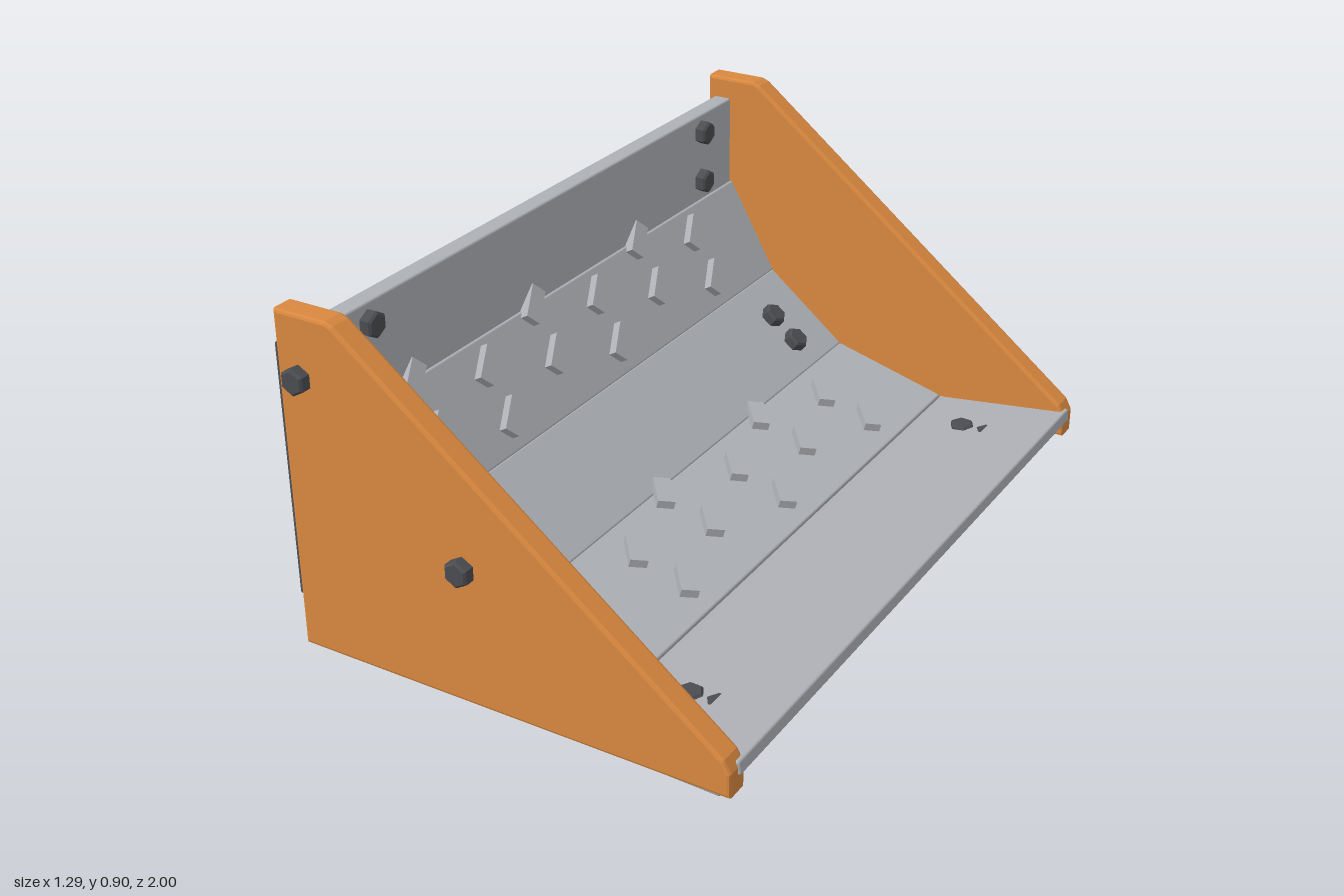
import * as THREE from 'three';
import { RoundedBoxGeometry } from 'three/addons/geometries/RoundedBoxGeometry.js';

const mat = (name, color) => {
  const m = new THREE.MeshStandardMaterial({ color });
  m.name = name;
  return m;
};

export function createModel() {
  const root = new THREE.Group();
  root.name = 'loaderBucket';
  const orange = mat('orange paint', 0xd9883f);
  const steel = mat('light steel', 0xadb0b5);
  const dark = mat('dark plate', 0x525254);
  const boltMat = mat('bolt steel', 0x4a4c50);

  function add(parent, name, geo, material, x = 0, y = 0, z = 0) {
    const mesh = new THREE.Mesh(geo, material);
    mesh.name = name;
    mesh.position.set(x, y, z);
    parent.add(mesh);
    return mesh;
  }

  // Hex bolt along local +y with its base at the origin, one vertex along x
  const hexGeo = (r, h) => {
    const bevel = 0.006;
    const pts = [[0, -0.01], [r, -0.01], [r, h - bevel], [r - bevel, h], [0, h]];
    const g = new THREE.LatheGeometry(pts.map(p => new THREE.Vector2(...p)), 6).toNonIndexed();
    g.rotateY(Math.PI / 6);
    g.computeVertexNormals();
    return g;
  };
  const boltGeo = hexGeo(0.034, 0.03);

  // Side plates with outer bolts
  const outline = new THREE.Shape([
    [-0.512, 0.048], [0.627, 0.048], [0.627, 0.1], [0.612, 0.128],
    [-0.36, 0.895], [-0.378, 0.902], [-0.512, 0.902],
  ].map(p => new THREE.Vector2(...p)));
  const sideGeo = new THREE.ExtrudeGeometry(outline, {
    depth: 0.049, bevelThickness: 0.008, bevelSize: 0.008, bevelSegments: 2,
  });
  for (const s of [1, -1]) {
    add(root, 'sidePlate', sideGeo, orange, 0, 0, s > 0 ? 0.913 : -0.962);
    for (const [x, y] of [[-0.46, 0.755], [-0.04, 0.395]]) {
      const b = add(root, 'sideBolt', boltGeo, boltMat, x, y, s * 0.97);
      b.rotation.set(s * Math.PI / 2, Math.PI / 6, 0);
    }
  }

  // Curved floor made of flat panels; each has local x downslope and y inward
  function panel(name, a, b, thick) {
    const dx = b[0] - a[0], dy = b[1] - a[1], len = Math.hypot(dx, dy);
    const g = new THREE.Group();
    g.name = name;
    g.position.set(a[0], a[1], 0);
    g.rotation.z = Math.atan2(dy, dx);
    root.add(g);
    add(g, name + 'Sheet', new RoundedBoxGeometry(len, thick, 1.87, 2, 0.006), steel, len / 2, -thick / 2);
    return g;
  }
  const upper = panel('upperPanel', [-0.45, 0.85], [-0.45, 0.59], 0.052);
  const back = panel('backPanel', [-0.443, 0.6], [-0.3, 0.345], 0.052);
  const middle = panel('middlePanel', [-0.303, 0.347], [-0.07, 0.16], 0.052);
  const lower = panel('lowerPanel', [-0.073, 0.161], [0.256, 0.073], 0.055);
  const floor = panel('floorPanel', [0.258, 0.072], [0.593, 0.062], 0.057);
  panel('cuttingEdge', [0.262, 0.07], [0.637, 0.117], 0.036);

  // Pairs of bolts near both ends of the panels
  for (const [g, spots] of [[upper, [0.05, 0.195]], [middle, [0.115, 0.21]], [floor, [0.142, 0.217]]]) {
    for (const t of spots) {
      for (const z of [-0.74, 0.74]) add(g, 'panelBolt', boltGeo, boltMat, t, 0, z);
    }
  }

  // Staggered slanted cleats
  const cleatGeo = new THREE.BoxGeometry(0.096, 0.03, 0.046);
  for (const [g, first, second, shift] of [[back, 0.0, 0.14, 0.068], [lower, 0.022, 0.172, 0.076]]) {
    for (let i = 0; i < 6; i++) {
      const offset = i % 2 ? 0 : shift;
      for (const t of [first, second]) {
        const c = add(g, 'cleat', cleatGeo, steel, t + offset, 0.008, -0.617 + i * 0.247);
        c.rotation.y = -0.86;
      }
    }
  }

  // Rear mounting plate with washers and bolts
  add(root, 'mountingPlate', new RoundedBoxGeometry(0.113, 0.675, 1.755, 2, 0.008), dark, -0.5585, 0.4325, 0);
  const washerGeo = new THREE.CylinderGeometry(0.054, 0.054, 0.02, 24);
  const rearGeo = hexGeo(0.041, 0.022);
  for (const z of [-0.645, -0.22, 0.215, 0.635]) {
    add(root, 'rearWasher', washerGeo, boltMat, -0.616, 0.433, z).rotation.z = Math.PI / 2;
    add(root, 'rearBolt', rearGeo, steel, -0.624, 0.433, z).rotation.z = Math.PI / 2;
  }

  return root;
}
